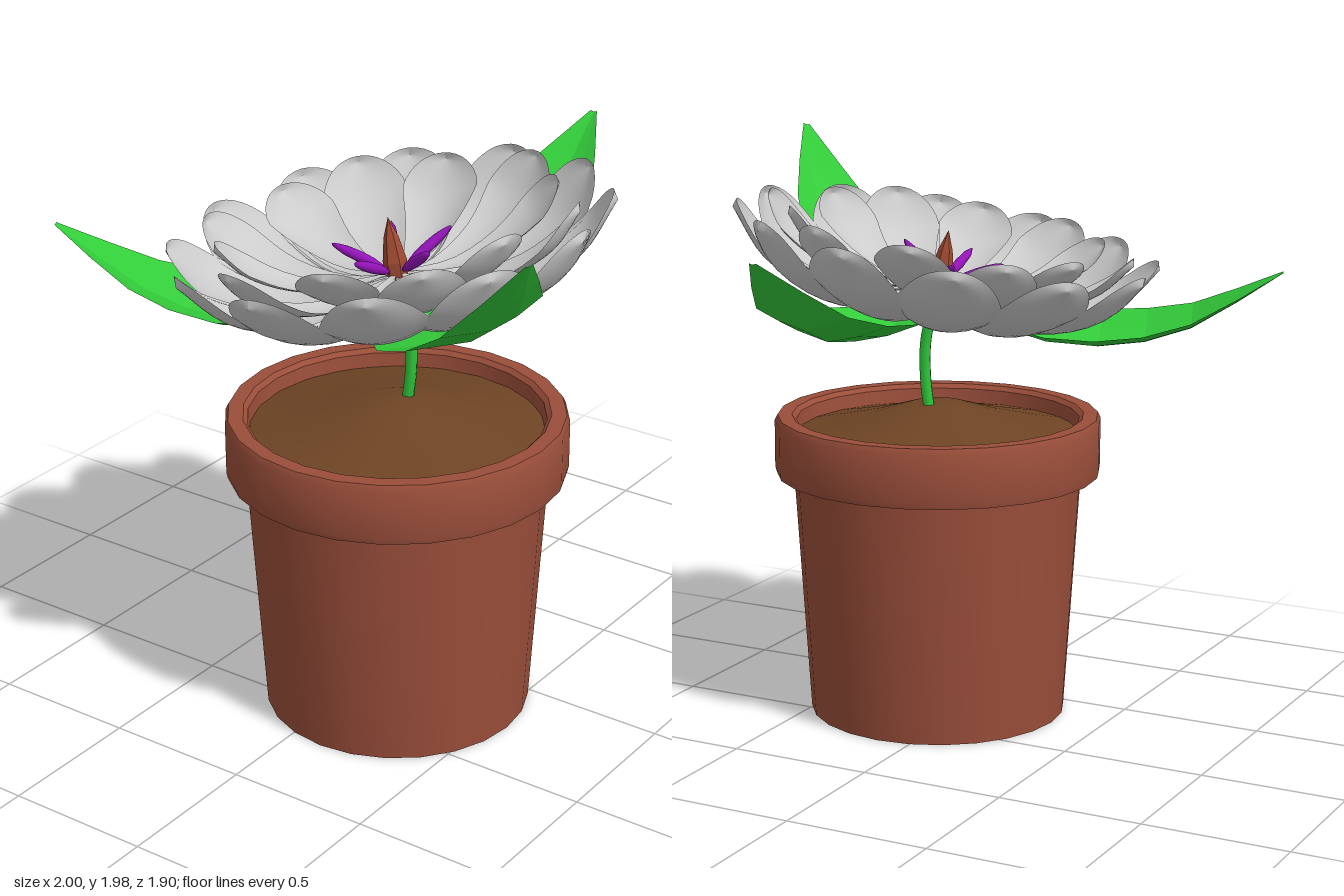
import * as THREE from 'three';
import { toCreasedNormals } from 'three/addons/utils/BufferGeometryUtils.js';

const V3 = (x, y, z) => new THREE.Vector3(x, y, z);
const mat = (color, extra = {}) => new THREE.MeshStandardMaterial({ color, ...extra });
const clay = mat(0x9a4e3a);
const soilMat = mat(0x6e4424);
const stemMat = mat(0x2fc63a);
const leafMat = mat(0x33cc3a, { side: THREE.DoubleSide, flatShading: true });
const petalMat = mat(0xcccccc, { side: THREE.DoubleSide });
const purple = mat(0x9414b8);
const pistilMat = mat(0xa04a32, { flatShading: true });

function add(parent, name, geometry, material, x = 0, y = 0, z = 0) {
  const mesh = new THREE.Mesh(geometry, material);
  mesh.name = name;
  mesh.position.set(x, y, z);
  parent.add(mesh);
  return mesh;
}

function lathe(points, segments) {
  const g = new THREE.LatheGeometry(points.map(([r, y]) => new THREE.Vector2(r, y)), segments);
  return toCreasedNormals(g, 0.6);
}

// Sheet of rows x cols vertices, placed by a rule f(t, u) with t 0..1 and u -1..1
function sheet(rows, cols, f) {
  const g = new THREE.PlaneGeometry(1, 1, cols, rows);
  const p = g.attributes.position;
  for (let i = 0; i <= rows; i++) {
    for (let j = 0; j <= cols; j++) {
      const v = f(i / rows, (2 * j) / cols - 1);
      p.setXYZ(i * (cols + 1) + j, v.x, v.y, v.z);
    }
  }
  g.computeVertexNormals();
  return g;
}

// Spoon-shaped petal along +x: wedge that ends in a round, cupped tip
function petalGeometry(profile, halfWidth, cup) {
  const spine = new THREE.CatmullRomCurve3(profile.map(([r, y]) => V3(r, y, 0)));
  const start = 0.7;
  return sheet(18, 10, (k, u) => {
    const t = Math.sin((k * Math.PI) / 2);
    const tip = Math.max(0, (t - start) / (1 - start));
    const wedge = 0.06 + 0.94 * Math.min(1, t / 0.78);
    const w = halfWidth * wedge * Math.sqrt(Math.max(0, 1 - tip * tip));
    const c = spine.getPoint(t);
    const lift = cup * u * u * t * (1 - 0.5 * tip);
    return V3(c.x - lift * 0.3, c.y + lift, u * w);
  });
}

// Folded leaf along a spine; liftA and liftB raise its two edges
function leafGeometry(points, halfWidth, liftA, liftB) {
  const spine = new THREE.CatmullRomCurve3(points.map((p) => V3(...p)));
  const dir = V3(...points[points.length - 1]).sub(V3(...points[0])).setY(0).normalize();
  const side = V3(-dir.z, 0, dir.x);
  const widths = [0.03, 0.3, 0.85, 1, 0.9, 0.68, 0.38, 0.05];
  const n = widths.length - 1;
  return sheet(n, 4, (t, u) => {
    const w = widths[Math.round(t * n)];
    const lift = (u > 0 ? liftA : liftB) * Math.pow(Math.abs(u), 1.4) * w;
    return spine.getPoint(t).addScaledVector(side, u * w * halfWidth).add(V3(0, lift, 0));
  });
}

function buildFlower() {
  const flower = new THREE.Group();
  flower.name = 'flower';

  // Petal rings: an outer ring of twelve, then two alternating rings of six
  const rings = [
    { name: 'outerPetal', count: 12, offset: 0, w: 0.18, cup: 0.06,
      profile: [[0.04, -0.01], [0.2, -0.06], [0.4, -0.07], [0.6, 0.01], [0.74, 0.17]] },
    { name: 'middlePetal', count: 6, offset: 45, w: 0.15, cup: 0.05,
      profile: [[0.03, 0], [0.2, -0.03], [0.4, 0.0], [0.55, 0.08], [0.65, 0.2]] },
    { name: 'innerPetal', count: 6, offset: 15, w: 0.14, cup: 0.05,
      profile: [[0.03, 0.01], [0.2, -0.01], [0.36, 0.03], [0.48, 0.1], [0.57, 0.2]] },
  ];
  for (const ring of rings) {
    const g = petalGeometry(ring.profile, ring.w, ring.cup);
    for (let i = 0; i < ring.count; i++) {
      const a = THREE.MathUtils.degToRad(ring.offset + (i * 360) / ring.count);
      add(flower, ring.name, g, petalMat).rotation.y = -a;
    }
  }

  // Pistil: slim pointed spindle
  const pistil = lathe([[0, -0.03], [0.035, 0.0], [0.04, 0.05], [0.025, 0.13], [0, 0.2]], 6);
  add(flower, 'pistil', pistil, pistilMat);

  // Stamens: five leaning spindles
  const spindle = new THREE.SphereGeometry(0.1, 8, 8).scale(1, 0.18, 0.18);
  for (let i = 0; i < 5; i++) {
    const arm = new THREE.Group();
    arm.name = 'stamen';
    arm.rotation.y = -THREE.MathUtils.degToRad(18 + i * 72);
    add(arm, 'stamenSpindle', spindle, purple, 0.12, 0.07, 0).rotation.z = 0.5;
    flower.add(arm);
  }

  flower.position.set(0.09, 1.52, 0.205);
  flower.rotation.set(0.05, 0, 0.15);
  return flower;
}

export function createModel() {
  const model = new THREE.Group();
  model.name = 'pottedFlower';

  // Pot with tapered body and heavy rim
  const pot = new THREE.Group();
  pot.name = 'pot';
  pot.position.set(0.12, 0, 0.25);
  model.add(pot);
  add(pot, 'potBody', lathe([[0, 0], [0.45, 0], [0.505, 0.87]], 24), clay);
  const rim = [[0.49, 0.86], [0.565, 0.86], [0.57, 0.88], [0.57, 1.045], [0.56, 1.065],
    [0.51, 1.065], [0.495, 1.05], [0.485, 0.95]];
  add(pot, 'potRim', lathe(rim, 24), clay);

  // Soil mound
  const soil = [[0.495, 1.0], [0.4, 1.02], [0.23, 1.06], [0.1, 1.1], [0, 1.108]];
  add(pot, 'soil', lathe(soil, 20), soilMat);

  // Bent stem
  const stem = new THREE.CatmullRomCurve3([
    V3(0.125, 1.05, 0.205), V3(0.145, 1.2, 0.205), V3(0.142, 1.34, 0.205), V3(0.09, 1.52, 0.205)]);
  add(model, 'stem', new THREE.TubeGeometry(stem, 16, 0.02, 8), stemMat);

  // Three leaves
  const leaves = [
    ['leftLeaf', [[0.1, 1.5, 0.21], [0.4, 1.47, 0.43], [0.72, 1.62, 0.65], [0.99, 1.97, 0.84]], 0.24, 0.0, 0.13],
    ['rightLeaf', [[0.1, 1.46, 0.21], [-0.3, 1.32, 0.4], [-0.66, 1.37, 0.51], [-1, 1.59, 0.63]], 0.23, 0.06, 0.09],
    ['backLeaf', [[0.11, 1.49, 0.2], [0.13, 1.41, -0.2], [0.13, 1.48, -0.6], [0.125, 1.76, -0.95]], 0.25, 0.08, 0.08],
  ];
  for (const [name, spine, w, a, b] of leaves) add(model, name, leafGeometry(spine, w, a, b), leafMat);

  model.add(buildFlower());
  return model;
}
